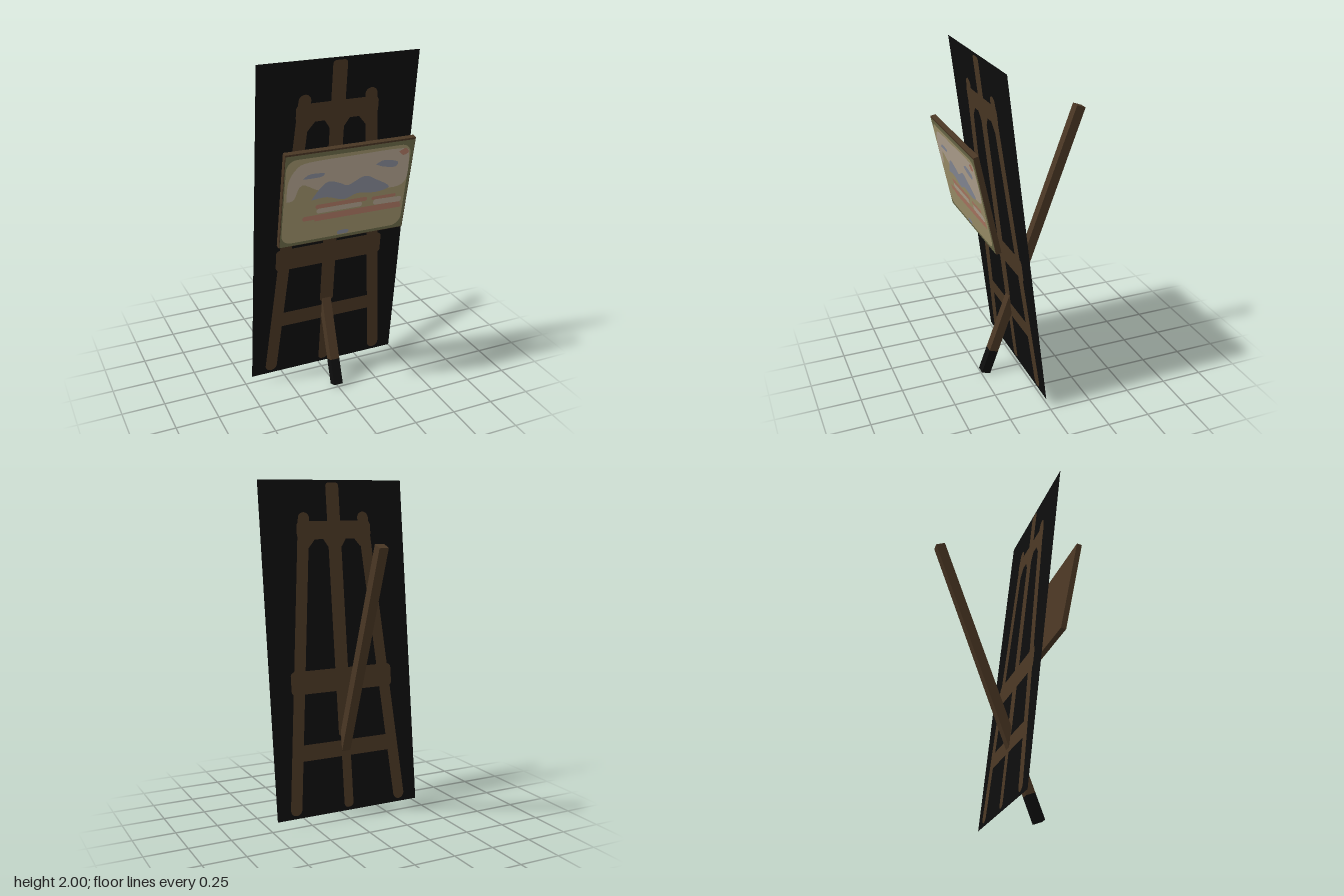
import * as THREE from 'three';

const mat = (name, color) => {
  const m = new THREE.MeshStandardMaterial({ color, side: THREE.DoubleSide });
  m.name = name;
  return m;
};

// closed outline from [x, y] points
const poly = (pts) => new THREE.Shape(pts.map(([x, y]) => new THREE.Vector2(x, y)));
const rect = (x0, y0, x1, y1) => poly([[x0, y0], [x1, y0], [x1, y1], [x0, y1]]);

// rectangle with rounded corners
function rounded(x0, y0, x1, y1, r) {
  const s = new THREE.Shape();
  s.absarc(x1 - r, y1 - r, r, 0, Math.PI / 2);
  s.absarc(x0 + r, y1 - r, r, Math.PI / 2, Math.PI);
  s.absarc(x0 + r, y0 + r, r, Math.PI, Math.PI * 1.5);
  s.absarc(x1 - r, y0 + r, r, Math.PI * 1.5, Math.PI * 2);
  return s;
}

// round-ended bar from (x0, y0) to (x1, y1)
function stroke(x0, y0, x1, y1, w) {
  const a = Math.atan2(y1 - y0, x1 - x0), s = new THREE.Shape();
  s.absarc(x1, y1, w / 2, a - Math.PI / 2, a + Math.PI / 2);
  s.absarc(x0, y0, w / 2, a + Math.PI / 2, a + Math.PI * 1.5);
  return s;
}

// soft blob through a few points
const blob = (pts) => new THREE.Shape(
  new THREE.SplineCurve([...pts, pts[0]].map(([x, y]) => new THREE.Vector2(x, y))).getPoints(pts.length * 4));

function addMesh(parent, name, geometry, material) {
  const m = new THREE.Mesh(geometry, material);
  m.name = name;
  parent.add(m);
  return m;
}

// flat shape leaned forward towards its top
function leaned(shapes, offset) {
  const g = new THREE.ShapeGeometry(shapes, 8), p = g.attributes.position;
  for (let i = 0; i < p.count; i++) p.setZ(i, 0.012 + (p.getY(i) - 0.05) * 0.1195 + offset);
  g.computeVertexNormals();
  return g;
}

export function createModel() {
  const model = new THREE.Group();
  model.name = 'easel';
  const wood = mat('brown wood', 0x4a3724);
  const black = mat('black', 0x0d0d0d);
  const darkOlive = mat('dark olive paint', 0x6c6b49);
  const olive = mat('olive paint', 0xa0946c);
  const cream = mat('cream paint', 0xb5a592);
  const blue = mat('grey blue paint', 0x898d9a);
  const red = mat('terracotta paint', 0xb07a65);

  // leaning black panel
  addMesh(model, 'backPanel', leaned(rect(-0.463, 0.05, 0.463, 2), 0), black);

  // easel frame shown on both faces of the panel
  const frame = [
    rounded(-0.042, 0.5, 0.042, 1.985, 0.02),
    rounded(-0.03, 0.07, 0.03, 0.52, 0.025),
    rounded(-0.24, 1.66, 0.24, 1.765, 0.03),
    rounded(-0.33, 0.77, 0.33, 0.905, 0.025),
    rect(-0.31, 0.38, 0.31, 0.475),
  ];
  for (const s of [-1, 1]) {
    frame.push(stroke(s * 0.192, 1.78, s * 0.342, 0.105, 0.072));
    // corner fillets under the top bar
    frame.push(poly([[s * 0.04, 1.67], [s * 0.08, 1.67], [s * 0.04, 1.61]]));
    frame.push(poly([[s * 0.17, 1.61], [s * 0.17, 1.67], [s * 0.12, 1.67]]));
  }
  addMesh(model, 'frameFront', leaned(frame, 0.003), wood);
  addMesh(model, 'frameBack', leaned(frame, -0.003), wood);

  // rear leg with a dark foot
  const leg = new THREE.Group();
  leg.name = 'rearLeg';
  leg.position.set(0, 0.01, 0.227);
  leg.rotation.x = -0.3495;
  model.add(leg);
  const length = 1.743, foot = 0.155;
  addMesh(leg, 'legBeam', new THREE.BoxGeometry(0.056, length - foot, 0.056), wood)
    .position.y = (length + foot) / 2;
  addMesh(leg, 'legFoot', new THREE.BoxGeometry(0.056, foot, 0.056), black).position.y = foot / 2;

  // painting, leaning forward
  const painting = new THREE.Group();
  painting.name = 'painting';
  painting.position.set(0, 1.285, 0.322);
  painting.rotation.x = 0.205;
  model.add(painting);
  addMesh(painting, 'canvasBoard', new THREE.BoxGeometry(0.75, 0.576, 0.03), wood);

  // painted layers, given in upright heights
  let depth = 0.015;
  const paint = (name, shapes, material) => {
    depth += 0.0015;
    const g = new THREE.ShapeGeometry(shapes, 6);
    g.translate(0, -1.285, 0);
    g.scale(1, 1.02, 1);
    addMesh(painting, name, g, material).position.z = depth;
  };
  paint('paintedBorder', rect(-0.372, 1.006, 0.372, 1.558), darkOlive);
  paint('paintedField', rounded(-0.366, 1.025, 0.355, 1.535, 0.06), olive);
  paint('paintedSky', [
    blob([[-0.35, 1.29], [-0.35, 1.4], [-0.31, 1.48], [-0.24, 1.51], [0, 1.515], [0.3, 1.515], [0.345, 1.47],
      [0.35, 1.32], [0.28, 1.28], [0.15, 1.3], [0, 1.31], [-0.16, 1.33], [-0.27, 1.38], [-0.31, 1.3]]),
  ], cream);
  paint('paintedHills', [
    blob([[-0.21, 1.28], [-0.17, 1.34], [-0.12, 1.38], [-0.05, 1.36], [0, 1.34], [0.09, 1.38], [0.16, 1.35],
      [0.25, 1.29], [0.17, 1.268], [0.06, 1.28], [-0.02, 1.255], [-0.12, 1.285]]),
    blob([[-0.27, 1.415], [-0.23, 1.44], [-0.15, 1.435], [-0.17, 1.415]]),
    blob([[0.15, 1.44], [0.2, 1.46], [0.28, 1.44], [0.27, 1.41], [0.2, 1.42]]),
    stroke(-0.025, 1.045, 0.02, 1.045, 0.025),
  ], blue);
  paint('paintedBands', [
    stroke(-0.17, 1.235, 0.11, 1.235, 0.025),
    stroke(0.16, 1.23, 0.29, 1.23, 0.02),
    stroke(-0.24, 1.17, 0.32, 1.17, 0.028),
    rect(-0.18, 1.145, 0.34, 1.165),
    blob([[0.28, 1.5], [0.32, 1.515], [0.34, 1.49], [0.31, 1.475]]),
  ], red);
  paint('paintedLights', [
    stroke(-0.16, 1.208, 0.08, 1.208, 0.03),
    stroke(0.18, 1.205, 0.32, 1.2, 0.035),
  ], cream);

  return model;
}
